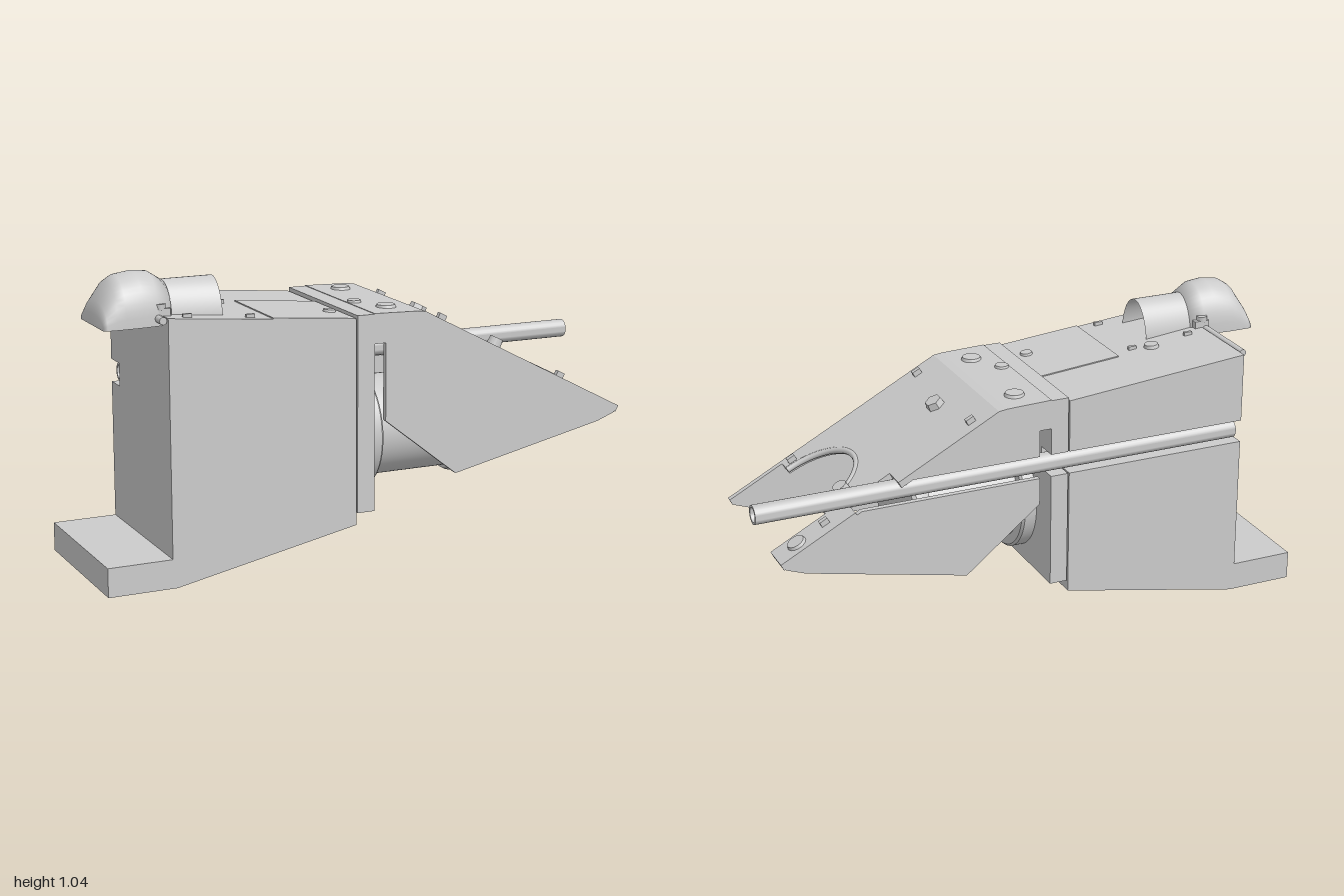
import * as THREE from 'three';
import { toCreasedNormals } from 'three/addons/utils/BufferGeometryUtils.js';

const material = new THREE.MeshStandardMaterial({ color: 0xcccccc, side: THREE.DoubleSide });
const W = 0.285; // half width

export function createModel() {
  const model = new THREE.Group();

  const add = (name, geometry, parent = model) => {
    const mesh = new THREE.Mesh(geometry, material);
    mesh.name = name;
    parent.add(mesh);
    return mesh;
  };
  const shapeOf = pts => new THREE.Shape(pts.map(p => new THREE.Vector2(p[0], p[1])));
  // side profile in x, y extruded between two z values
  const slab = (name, pts, z0, z1) => {
    const g = new THREE.ExtrudeGeometry(shapeOf(pts), { depth: z1 - z0, bevelEnabled: false });
    return add(name, g.translate(0, 0, z0));
  };
  // profile of [radius, x] turned about the x axis
  const turned = (name, pts, y, z, segments = 48) => {
    const g = new THREE.LatheGeometry(pts.map(p => new THREE.Vector2(p[0], p[1])), segments);
    const m = add(name, toCreasedNormals(g.rotateZ(-Math.PI / 2), 0.6));
    m.position.set(0, y, z);
    return m;
  };

  // housing with a groove along its back for the rod
  const grooveZ = -0.205, grooveLow = 0.585, grooveHigh = 0.665;
  const foot = [[-1, 0.005], [-0.76, 0.005], [-0.11, 0.137]];
  slab('housing', [...foot, [-0.11, 0.85], [-0.775, 0.91], [-0.775, 0.105], [-1, 0.105]], grooveZ, W);
  slab('housingBackLower', [...foot, [-0.11, grooveLow], [-0.775, grooveLow], [-0.775, 0.105], [-1, 0.105]], -W, grooveZ);
  slab('housingBackUpper', [[-0.775, grooveHigh], [-0.11, grooveHigh], [-0.11, 0.85], [-0.775, 0.91]], -W, grooveZ);
  slab('accessPanel', [[-0.41, 0.872], [-0.112, 0.845], [-0.112, 0.854], [-0.41, 0.881]], -0.05, W);

  // front flange
  const block = (y0, y1) => [[-0.105, y0], [-0.042, y0], [-0.042, y1], [-0.105, y1]];
  slab('flange', block(0.178, 0.862), grooveZ, W);
  slab('flangeBackLower', block(0.178, grooveLow), -W, grooveZ);
  slab('flangeBackUpper', block(grooveHigh, 0.862), -W, grooveZ);
  slab('flangeSeam', [[-0.112, 0.19], [-0.1, 0.19], [-0.1, 0.84], [-0.112, 0.84]], grooveZ, W - 0.01);

  // lens barrel
  turned('lensBarrel', [[0.215, -0.045], [0.215, 0], [0.207, 0.008], [0.175, 0.01], [0.175, 0.335],
    [0.19, 0.337], [0.195, 0.345], [0.195, 0.385], [0.185, 0.398], [0.1, 0.405], [0, 0.407]], 0.42, 0.045, 64);

  // hollow rod
  turned('rod', [[0, -0.72], [0.025, -0.72], [0.025, -0.76], [0.033, -0.76], [0.033, 1], [0.025, 1],
    [0.025, 0.97], [0, 0.97]], 0.625, -0.245, 24);

  // hood: flat top, slope and side walls
  const bend = [0.15, 0.855], tip = [0.925, 0.447];
  const run = tip[0] - bend[0], drop = bend[1] - tip[1], len = Math.hypot(run, drop);
  const slopeY = x => bend[1] - (x - bend[0]) * drop / run;
  const slopeX = y => bend[0] + (bend[1] - y) * run / drop;
  slab('hoodTop', [[-0.042, 0.838], [0.145, 0.83], [0.165, 0.822], [0.18, 0.839], bend, [0.12, 0.859], [-0.042, 0.864]], -W, W);

  const slope = new THREE.Group();
  slope.name = 'hoodSlope';
  slope.position.set(bend[0], bend[1], 0);
  slope.rotation.z = -Math.atan2(drop, run);
  model.add(slope);
  const u = x => (x - bend[0]) * len / run;
  const arch = [];
  for (let i = 0; i <= 24; i++) {
    const a = Math.PI * i / 24 - Math.PI / 2;
    arch.push([u(0.73 - 0.18 * Math.cos(a)), -0.043 + 0.175 * Math.sin(a)]);
  }
  // outline in slope distance and -z
  const outline = [[0, -W], [u(0.925), -W], [u(0.925), -0.265], [u(0.73), -0.265], ...arch,
    [u(0.73), 0.178], [u(0.925), 0.178], [u(0.925), W], [u(slopeX(grooveLow)), W],
    [u(slopeX(grooveLow)), -grooveZ], [u(slopeX(grooveHigh)), -grooveZ], [u(slopeX(grooveHigh)), W], [0, W]];
  const plate = new THREE.ExtrudeGeometry(shapeOf(outline), { depth: 0.024, bevelEnabled: false });
  add('hoodSlopePlate', plate.translate(0, 0, -0.024).rotateX(-Math.PI / 2), slope);
  // raised rim around the arch
  const rim = new THREE.CatmullRomCurve3(arch.map(p => new THREE.Vector3(p[0], -0.006, -p[1])));
  add('archRim', new THREE.TubeGeometry(rim, 40, 0.011, 8), slope);

  const inset = 0.012;
  const top = x => slopeY(x) - inset;
  const nose = [[0.92, 0.445], [0.907, 0.425], [0.84, 0.4], [0.27, 0.275], [0, 0.49]];
  const neck = [[0, 0.76], [-0.042, 0.76], [-0.042, 0.85], [0.14, 0.843]];
  slab('hoodLeftWall', [...neck, [0.84, top(0.84)], ...nose], 0.265, W);
  slab('hoodBackWallUpper', [...neck, [slopeX(grooveHigh + inset), grooveHigh], [0, grooveHigh]], -W, -W + 0.02);
  slab('hoodBackWallLower', [[0, grooveLow], [slopeX(grooveLow + inset), grooveLow], [0.84, top(0.84)], ...nose], -W, -W + 0.02);
  slab('hoodNose', [[0.72, top(0.72)], [0.92, 0.445], [0.907, 0.425], [0.84, 0.4], [0.76, 0.383], [0.72, 0.45]], -W + 0.02, -0.178);

  // eyepiece built from arch-shaped sections [x, halfWidth, height]
  const archShell = (name, sections, base, z, power) => {
    const n = 24, pos = [], index = [];
    sections.forEach(([x, w, h]) => {
      for (let j = 0; j <= n; j++) {
        const a = Math.PI * j / n, s = Math.sin(a);
        pos.push(x, base + h * Math.pow(s, power), z + w * Math.cos(a));
      }
    });
    for (let i = 0; i < sections.length - 1; i++) for (let j = 0; j < n; j++) {
      const a = i * (n + 1) + j, b = a + n + 1;
      index.push(a, a + 1, b, b, a + 1, b + 1);
    }
    const g = new THREE.BufferGeometry();
    g.setAttribute('position', new THREE.Float32BufferAttribute(pos, 3));
    g.setIndex(index);
    g.computeVertexNormals();
    add(name, g);
  };
  archShell('eyepieceHood', [[-0.978, 0.001, 0.001], [-0.978, 0.113, 0.04], [-0.965, 0.117, 0.08], [-0.93, 0.118, 0.14],
    [-0.9, 0.118, 0.16], [-0.84, 0.115, 0.169], [-0.79, 0.108, 0.164], [-0.74, 0.095, 0.132], [-0.74, 0.001, 0.001]], 0.878, 0.13, 0.8);
  archShell('eyepieceVisor', [[-0.75, 0.088, 0.125], [-0.56, 0.092, 0.125]], 0.885, 0.125, 1.2);
  turned('eyepieceLens', [[0.05, -0.76], [0.05, -0.735], [0.04, -0.73], [0, -0.73]], 0.95, 0.13, 24);

  // hinge pin with nuts and lugs
  const pin = add('hingePin', new THREE.CylinderGeometry(0.013, 0.013, 0.53, 12).rotateX(Math.PI / 2));
  pin.position.set(-0.79, 0.902, 0.015);
  for (const z of [0.03, 0.22]) {
    const lug = add('hingeLug', new THREE.BoxGeometry(0.055, 0.05, 0.03));
    lug.position.set(-0.775, 0.908, z);
    const nut = add('hingeNut', new THREE.CylinderGeometry(0.02, 0.02, 0.02, 6));
    nut.position.set(-0.78, 0.938, z);
  }

  // screws: x, z, radius, height, sides
  const screw = (name, parent, x, y, z, r, h, sides, tilt = 0) => {
    const m = add(name, toCreasedNormals(new THREE.CylinderGeometry(r * 0.85, r, h, sides), 0.5), parent);
    m.position.set(x, y + h / 2 - 0.004, z);
    m.rotation.z = tilt;
  };
  const houseY = x => 0.85 - (x + 0.11) * 0.09;
  for (const [x, z, r] of [[-0.545, -0.035, 0.028], [-0.15, 0.155, 0.024]])
    screw('housingScrew', model, x, houseY(x), z, r, 0.016, 16, -0.09);
  for (const [x, z, r] of [[0.05, -0.185, 0.037], [0.05, 0.18, 0.037], [-0.015, 0.065, 0.027]])
    screw('hoodScrew', model, x, 0.86, z, r, 0.015, 20);
  screw('slopeNut', slope, u(0.265), 0, -0.012, 0.034, 0.028, 6);
  screw('slopeKnob', slope, u(0.65), 0, -0.155, 0.029, 0.05, 20);
  screw('noseScrew', slope, u(0.85), 0, -0.23, 0.035, 0.014, 20);

  // small locating tabs
  for (const x of [-0.7, -0.48]) for (const z of [-0.015, 0.255]) {
    const tab = add('housingTab', new THREE.BoxGeometry(0.03, 0.016, 0.012));
    tab.position.set(x, houseY(x) + 0.004, z);
  }
  for (const [x, z] of [[0.23, -0.237], [0.23, 0.237], [0.7, 0.24], [0.75, -0.232]]) {
    const tab = add('slopeTab', new THREE.BoxGeometry(0.03, 0.026, 0.017), slope);
    tab.position.set(u(x), 0.006, z);
  }
  return model;
}
